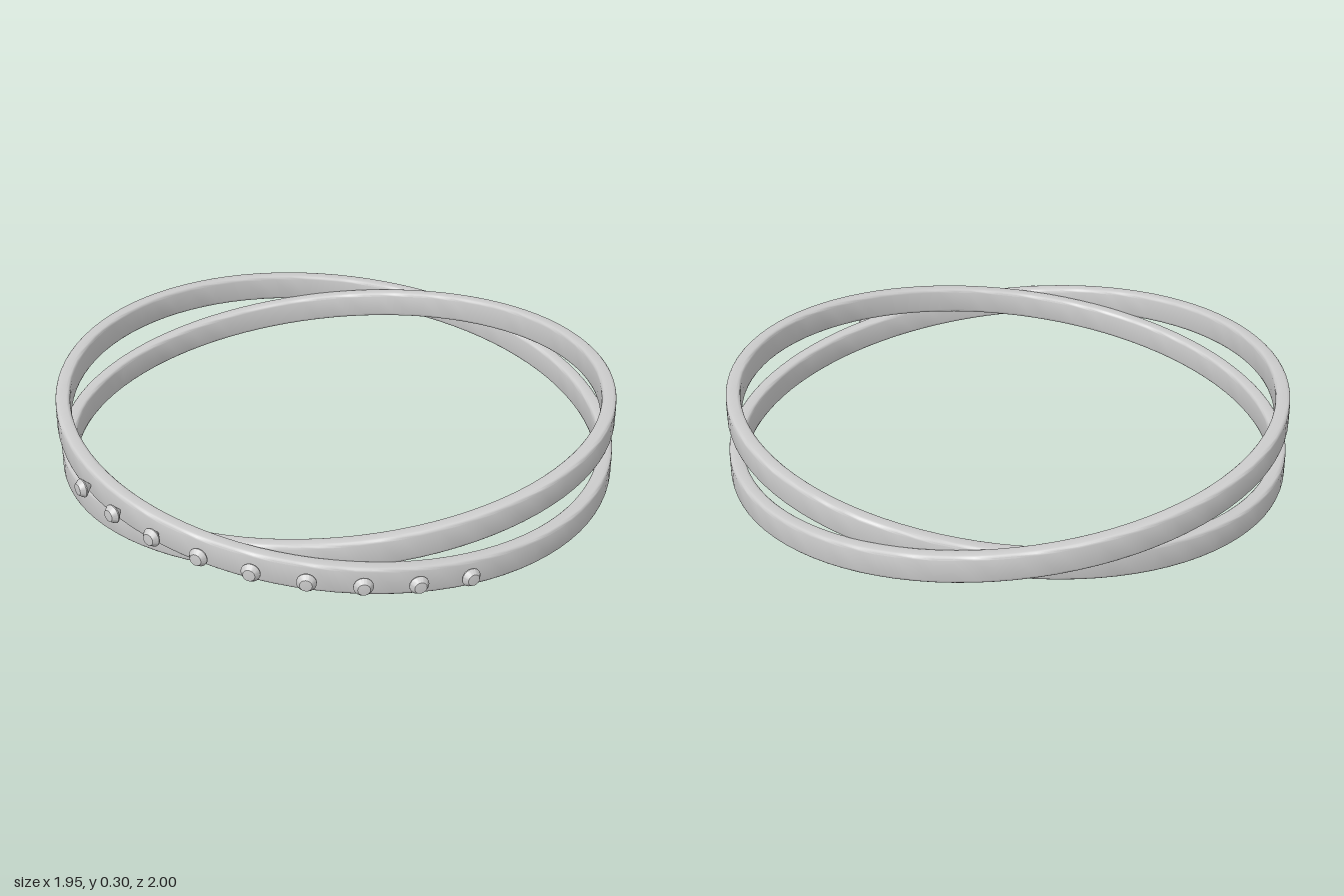
import * as THREE from 'three';
import { toCreasedNormals } from 'three/addons/utils/BufferGeometryUtils.js';

const CENTRE_Z = -0.025;
const RISE = 0.103; // height gained at the sides of each band
const material = new THREE.MeshStandardMaterial({ color: 0xcccccc, roughness: 0.5 });

// Rounded cross-section of a band: [radial offset, height], counter-clockwise
function bandSection(thickness, height, bevel, steps) {
  const points = [];
  const corners = [[1, -1, -90], [1, 1, 0], [-1, 1, 90], [-1, -1, 180]];
  for (const [sx, sy, start] of corners) {
    for (let i = 0; i <= steps; i++) {
      const a = THREE.MathUtils.degToRad(start + (90 * i) / steps);
      points.push([
        sx * (thickness / 2 - bevel) + bevel * Math.cos(a),
        sy * (height / 2 - bevel) + bevel * Math.sin(a),
      ]);
    }
  }
  return points;
}

// Closed band that slopes across x, with its own radius in x and z
function bandGeometry(radiusX, radiusZ, slope) {
  const section = bandSection(0.05, 0.098, 0.012, 3);
  const count = section.length;
  const segments = 96;
  const positions = [];
  const indices = [];
  for (let i = 0; i <= segments; i++) {
    const a = (i / segments) * Math.PI * 2;
    const s = Math.sin(a);
    const c = Math.cos(a);
    for (const [r, h] of section) {
      positions.push(
        (radiusX + r) * s,
        0.15 + slope * s - 0.01 * c + h,
        CENTRE_Z + (radiusZ + r) * c,
      );
    }
  }
  for (let i = 0; i < segments; i++) {
    for (let j = 0; j < count; j++) {
      const k = (j + 1) % count;
      const a = i * count + j, b = i * count + k;
      const d = a + count, e = b + count;
      indices.push(a, d, b, b, d, e);
    }
  }
  const geometry = new THREE.BufferGeometry();
  geometry.setAttribute('position', new THREE.Float32BufferAttribute(positions, 3));
  geometry.setIndex(indices);
  return toCreasedNormals(geometry, 0.7);
}

// Cut stone: pointed back, wide girdle, small flat table
function stoneGeometry() {
  const profile = [[0, -0.034], [0.032, -0.003], [0.032, 0.001], [0.02, 0.018], [0, 0.02]]
    .map(([r, y]) => new THREE.Vector2(r, y));
  const geometry = new THREE.LatheGeometry(profile, 20);
  geometry.rotateX(Math.PI / 2);
  return toCreasedNormals(geometry, 0.4);
}

export function createModel() {
  const model = new THREE.Group();
  model.name = 'crossedBangle';

  const outerBand = new THREE.Mesh(bandGeometry(0.95, 0.95, -RISE), material);
  outerBand.name = 'outerBand';
  const innerBand = new THREE.Mesh(bandGeometry(0.95, 0.9, RISE), material);
  innerBand.name = 'innerBand';
  model.add(outerBand, innerBand);

  // Row of stones along the front of the outer band
  const stones = new THREE.Group();
  stones.name = 'stones';
  const stone = stoneGeometry();
  for (let i = -4; i <= 4; i++) {
    const a = THREE.MathUtils.degToRad(i * 10);
    const mesh = new THREE.Mesh(stone, material);
    mesh.name = 'stone';
    mesh.position.set(
      1.004 * Math.sin(a),
      0.14 - 0.09 * Math.sin(a),
      CENTRE_Z + 1.004 * Math.cos(a),
    );
    mesh.rotation.y = a;
    stones.add(mesh);
  }
  model.add(stones);
  return model;
}
